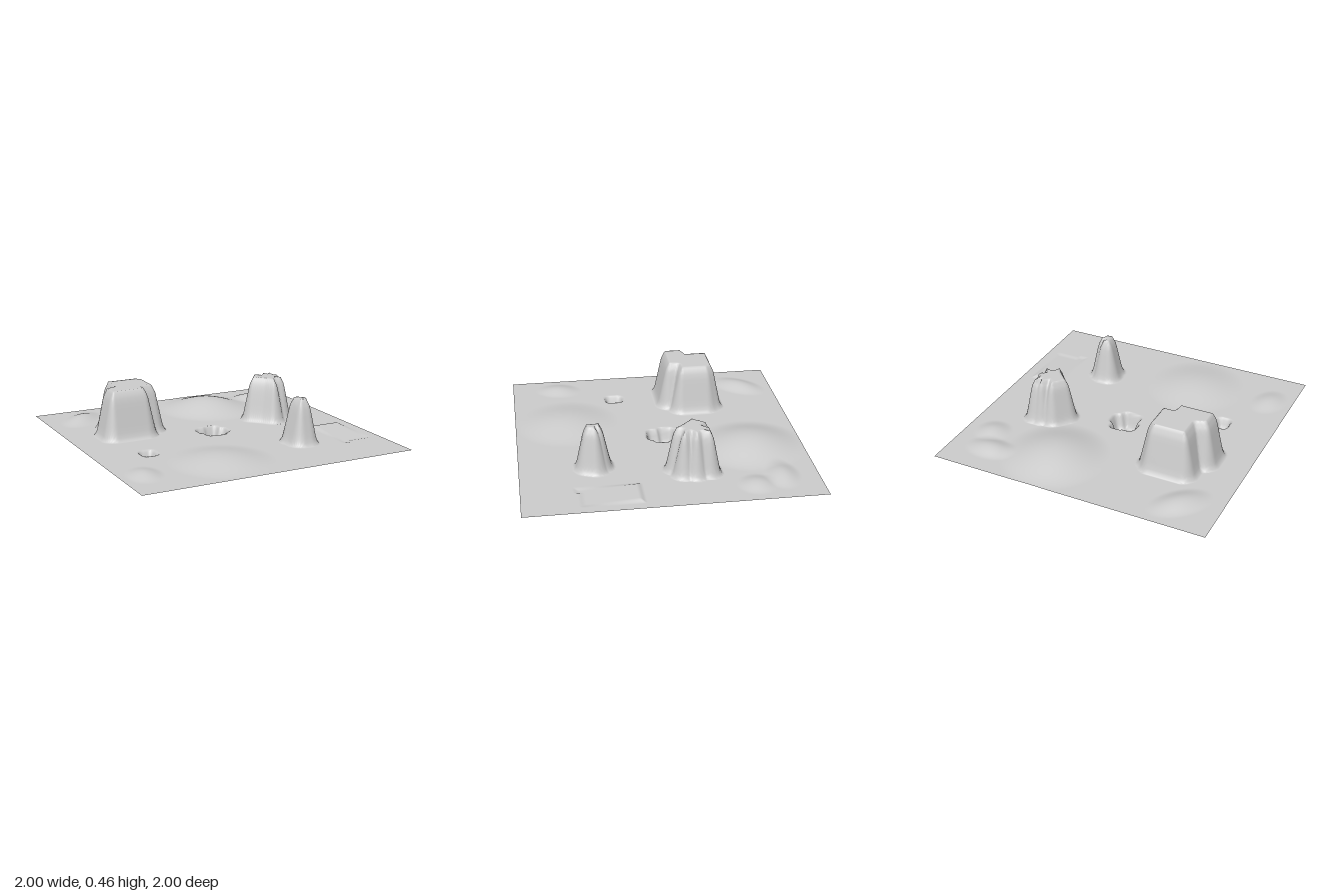
import * as THREE from 'three';

const GROUND = 0.117;
const CELLS = 200;

// Raised mesas and sunken pits: flat outline [x, z], height change and width of the wall around it
const plateaus = [
  { // large stepped mesa
    rise: 0.343, run: 0.1,
    outline: [[-0.62, -0.46], [-0.4, -0.46], [-0.375, -0.43], [-0.375, -0.25], [-0.46, -0.24],
      [-0.47, -0.165], [-0.7, -0.165], [-0.7, -0.28], [-0.62, -0.31]],
  },
  { // fluted round mesa
    rise: 0.321, run: 0.09,
    outline: [[0.48, -0.26], [0.52, -0.22], [0.56, -0.27], [0.58, -0.23], [0.61, -0.27], [0.6, -0.21],
      [0.625, -0.18], [0.58, -0.15], [0.61, -0.1], [0.55, -0.11], [0.53, -0.06], [0.49, -0.11], [0.42, -0.18]],
  },
  { // narrow spire
    rise: 0.318, run: 0.095,
    outline: [[0.39, 0.45], [0.43, 0.45], [0.42, 0.48], [0.46, 0.48], [0.44, 0.53], [0.4, 0.53]],
  },
  { // cross-shaped pit
    rise: -0.117, run: 0.045,
    outline: [[-0.05, -0.1], [0, -0.1], [0.02, -0.115], [0.055, -0.115], [0.055, -0.07], [0.085, -0.05],
      [0.085, -0.01], [0.05, 0], [0.04, 0.035], [-0.035, 0.025], [-0.03, -0.03], [-0.055, -0.05]],
  },
  { // small pit
    rise: -0.077, run: 0.042,
    outline: [[-0.64, 0.21], [-0.6, 0.21], [-0.6, 0.27], [-0.64, 0.27]],
  },
];

// Soft mounds: centre x, z, radii, height and turn in the ground plane
const mounds = [
  [0.26, -0.63, 0.38, 0.4, 0.08, 0],
  [-0.26, 0.62, 0.37, 0.38, 0.047, 0],
  [-0.72, -0.75, 0.24, 0.14, 0.035, -0.85],
  [-0.83, 0.65, 0.13, 0.18, 0.025, 0.2],
  [0.7, -0.75, 0.2, 0.13, 0.033, 0],
  [0.8, -0.56, 0.14, 0.14, 0.027, 0],
];

// Distance from a point to an outline, zero inside it
function distanceOutside(x, z, outline) {
  let inside = false;
  let best = Infinity;
  outline.forEach(([ax, az], i) => {
    const [bx, bz] = outline[(i + 1) % outline.length];
    const dx = bx - ax, dz = bz - az;
    const t = THREE.MathUtils.clamp(((x - ax) * dx + (z - az) * dz) / (dx * dx + dz * dz), 0, 1);
    best = Math.min(best, Math.hypot(x - ax - t * dx, z - az - t * dz));
    if ((az > z) !== (bz > z) && x < ax + (z - az) * dx / dz) inside = !inside;
  });
  return inside ? 0 : best;
}

// Wall profile: bevelled rim, steep face, flared foot
const wall = [[0, 1], [0.28, 0.83], [0.8, 0.1], [1, 0]];
function wallFraction(t) {
  for (let i = 1; i < wall.length; i++) {
    const [t0, f0] = wall[i - 1], [t1, f1] = wall[i];
    if (t <= t1) return f0 + (f1 - f0) * (t - t0) / (t1 - t0);
  }
  return 0;
}

function heightAt(x, z) {
  let y = GROUND;
  for (const [cx, cz, rx, rz, h, turn] of mounds) {
    const c = Math.cos(turn), s = Math.sin(turn), dx = x - cx, dz = z - cz;
    const d2 = ((dx * c + dz * s) / rx) ** 2 + ((dz * c - dx * s) / rz) ** 2;
    if (d2 < 1) y += h * (1 - d2) ** 2;
  }
  // slightly tilted rectangular pad
  const edge = Math.min(x - 0.68, 0.93 - x, z - 0.2, (x < 0.75 ? 0.65 : 0.62) - z);
  if (edge > 0) y += Math.min(edge / 0.03, 1) * THREE.MathUtils.mapLinear(z, 0.2, 0.64, 0.017, -0.008);

  for (const { rise, run, outline } of plateaus) {
    const d = distanceOutside(x, z, outline);
    if (d < run) y += (GROUND + rise - y) * wallFraction(d / run);
  }
  return y;
}

export function createModel() {
  const group = new THREE.Group();
  group.name = 'landscape';

  // Ground sheet shaped by the height rule
  const geometry = new THREE.PlaneGeometry(2, 2, CELLS, CELLS).rotateX(-Math.PI / 2);
  const pos = geometry.attributes.position;
  for (let i = 0; i < pos.count; i++) pos.setY(i, heightAt(pos.getX(i), pos.getZ(i)));
  geometry.computeVertexNormals();

  const terrain = new THREE.Mesh(
    geometry,
    new THREE.MeshStandardMaterial({ color: 0xcccccc, side: THREE.DoubleSide }),
  );
  terrain.name = 'terrain';
  group.add(terrain);
  return group;
}
